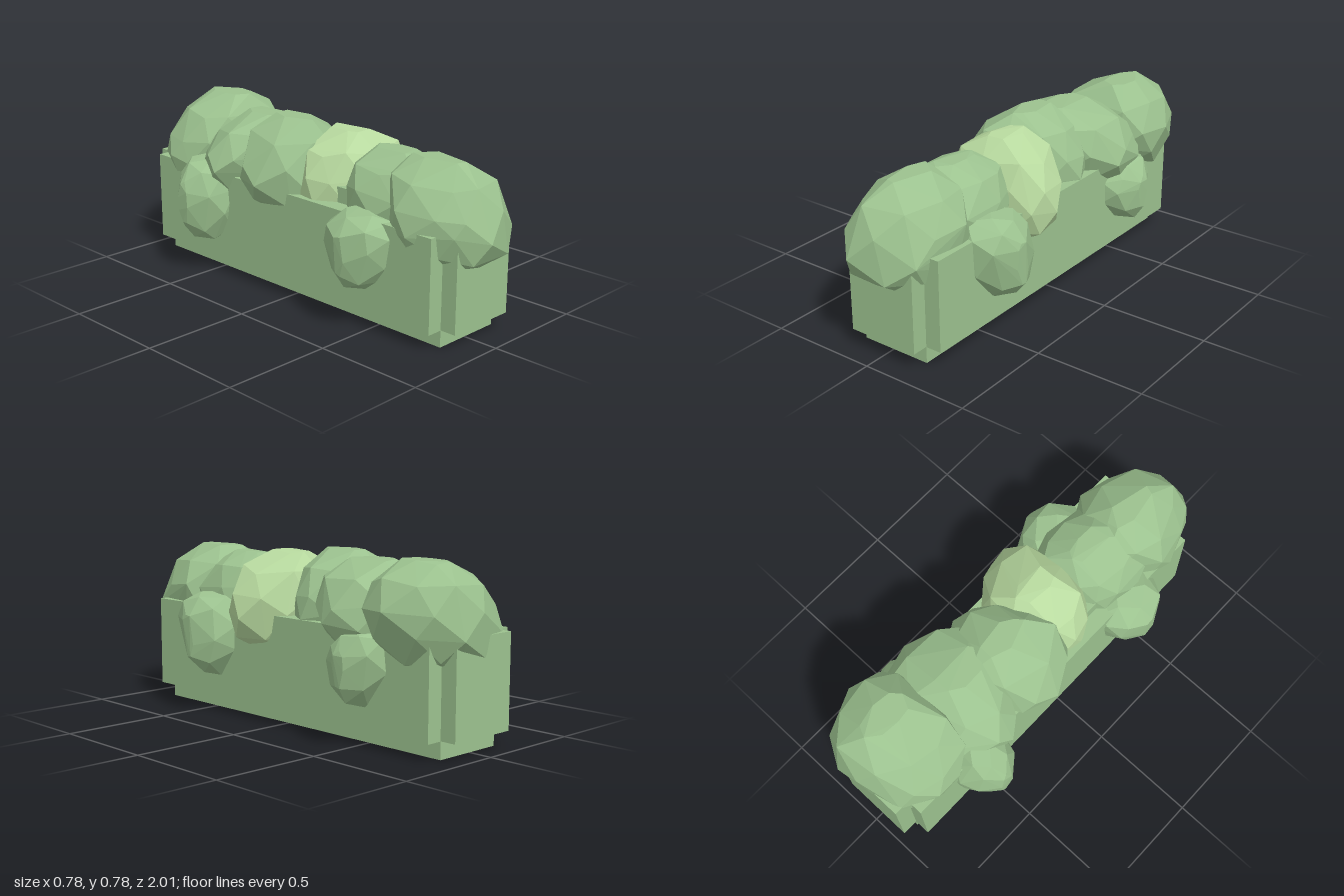
import * as THREE from 'three';
import { ConvexGeometry } from 'three/addons/geometries/ConvexGeometry.js';

const green = new THREE.MeshStandardMaterial({ color: 0x9cc28f });
const leafGreen = new THREE.MeshStandardMaterial({ color: 0x9cc28f, flatShading: true });
const lightGreen = new THREE.MeshStandardMaterial({ color: 0xb9dba0, flatShading: true });

function seeded(seed) {
  let s = seed * 7919 + 17;
  return () => (s = (s * 16807) % 2147483647) / 2147483647;
}

// Box given by its ranges along x, y and z
function slab(name, [x0, x1], [y0, y1], [z0, z1]) {
  const mesh = new THREE.Mesh(new THREE.BoxGeometry(x1 - x0, y1 - y0, z1 - z0), green);
  mesh.position.set((x0 + x1) / 2, (y0 + y1) / 2, (z0 + z1) / 2);
  mesh.name = name;
  return mesh;
}

// Swelling of a bush: position along its axis, scale of its outline along u and v
const swelling = [[0, 0.52, 0.5], [0.14, 0.86, 0.84], [0.36, 1, 1], [0.56, 0.98, 1],
  [0.82, 0.74, 0.88], [1, 0.22, 0.5]];

// Faceted clump: an outline swept along an axis, swelling in the middle.
// place(u, v, h) turns outline and axis coordinates into a point.
function clump(name, seed, outline, [h0, h1], [leanU, leanV], place, material) {
  const rand = seeded(seed);
  rand();
  const curve = new THREE.CatmullRomCurve3(
    outline.map(([u, v]) => new THREE.Vector3(u, v, 0)), true, 'centripetal');
  const box = new THREE.Box3().setFromPoints(curve.points);
  const centre = box.getCenter(new THREE.Vector3());
  const sides = 8;
  const points = [];
  swelling.forEach(([t, scaleU, scaleV], level) => {
    for (let i = 0; i < sides; i++) {
      const p = curve.getPoint(((i + (level % 2) / 2 + rand() * 0.3) / sides) % 1);
      const grow = 0.97 + 0.06 * rand();
      const u = centre.x + (p.x - centre.x) * scaleU * grow + leanU * (t - 0.45);
      const v = centre.y + (p.y - centre.y) * scaleV * grow + leanV * (t - 0.45);
      const h = THREE.MathUtils.clamp(t + (rand() - 0.5) * 0.08, 0, 1);
      points.push(place(u, v, h0 + (h1 - h0) * h));
    }
  });
  const mesh = new THREE.Mesh(new ConvexGeometry(points), material);
  mesh.name = name;
  return mesh;
}

// Upright bush with an outline in x, z
const topBush = (name, seed, outline, heights, lean, material = leafGreen) =>
  clump(name, seed, outline, heights, lean, (x, z, y) => new THREE.Vector3(x, y, z), material);

// Bush hanging over a long side, with an outline in z, y; side is +1 for left, -1 for right
const sideBush = (name, seed, outline, reach, side) =>
  clump(name, seed, outline, [0.08, reach], [0, 0],
    (z, y, x) => new THREE.Vector3(side * x, y, z), leafGreen);

export function createModel() {
  const model = new THREE.Group();
  model.name = 'planter';

  // Trough: three crossing slabs that leave notched corners and a recessed foot
  const narrowX = [-0.157, 0.18], wideX = [-0.232, 0.255];
  const shortZ = [-0.89, 0.835], longZ = [-0.965, 0.91];
  const trough = new THREE.Group();
  trough.name = 'trough';
  trough.add(
    slab('core', narrowX, [0, 0.56], shortZ),
    slab('sideSlab', wideX, [0.076, 0.49], shortZ),
    slab('endSlab', narrowX, [0.077, 0.489], longZ));
  model.add(trough);

  // Row of bushes along the top
  const row = new THREE.Group();
  row.name = 'bushRow';
  row.add(
    topBush('frontBush', 1, [[-0.09, 0.99], [0.17, 0.94], [0.23, 0.75], [0.24, 0.6],
      [-0.03, 0.47], [-0.2, 0.57], [-0.25, 0.7], [-0.19, 0.87]], [0.32, 0.75], [0, -0.1]),
    topBush('secondBush', 2, [[-0.12, 0.26], [0.17, 0.26], [0.24, 0.4], [0.18, 0.64],
      [-0.17, 0.65], [-0.21, 0.4]], [0.37, 0.735], [0, -0.03]),
    topBush('lightBush', 3, [[-0.2, 0.05], [0.0, -0.06], [0.24, -0.03], [0.335, 0.2],
      [0.25, 0.3], [-0.1, 0.31], [-0.2, 0.2]], [0.32, 0.76], [-0.03, -0.02], lightGreen),
    topBush('middleBush', 4, [[-0.31, -0.13], [-0.18, 0.09], [0, 0.06], [0.2, -0.05],
      [0.25, -0.2], [0.12, -0.35], [-0.18, -0.34]], [0.35, 0.78], [0.02, -0.02]),
    topBush('fifthBush', 5, [[-0.305, -0.38], [-0.2, -0.6], [0.26, -0.64], [0.33, -0.36],
      [0.13, -0.18], [-0.12, -0.25]], [0.36, 0.755], [0, 0.1]),
    topBush('backBush', 6, [[-0.15, -0.93], [0.2, -0.98], [0.34, -0.73], [0.25, -0.54],
      [-0.18, -0.55], [-0.24, -0.72]], [0.33, 0.78], [0.1, 0.04]));
  model.add(row);

  // Smaller bushes hanging over the long sides
  const sides = new THREE.Group();
  sides.name = 'sideBushes';
  sides.add(
    sideBush('leftFrontBush', 7, [[0.64, 0.42], [0.59, 0.53], [0.45, 0.56], [0.32, 0.52],
      [0.27, 0.38], [0.3, 0.25], [0.4, 0.165], [0.52, 0.2]], 0.39, 1),
    sideBush('leftBackBush', 8, [[-0.33, 0.34], [-0.38, 0.43], [-0.46, 0.49], [-0.63, 0.48],
      [-0.67, 0.34], [-0.55, 0.17], [-0.42, 0.22]], 0.375, 1),
    sideBush('rightFrontBush', 9, [[0.62, 0.36], [0.58, 0.5], [0.36, 0.51], [0.27, 0.4],
      [0.36, 0.22], [0.5, 0.18]], 0.365, -1),
    sideBush('rightBackBush', 10, [[-0.37, 0.38], [-0.46, 0.55], [-0.6, 0.54], [-0.68, 0.37],
      [-0.6, 0.2], [-0.46, 0.17]], 0.39, -1));
  model.add(sides);

  return model;
}
